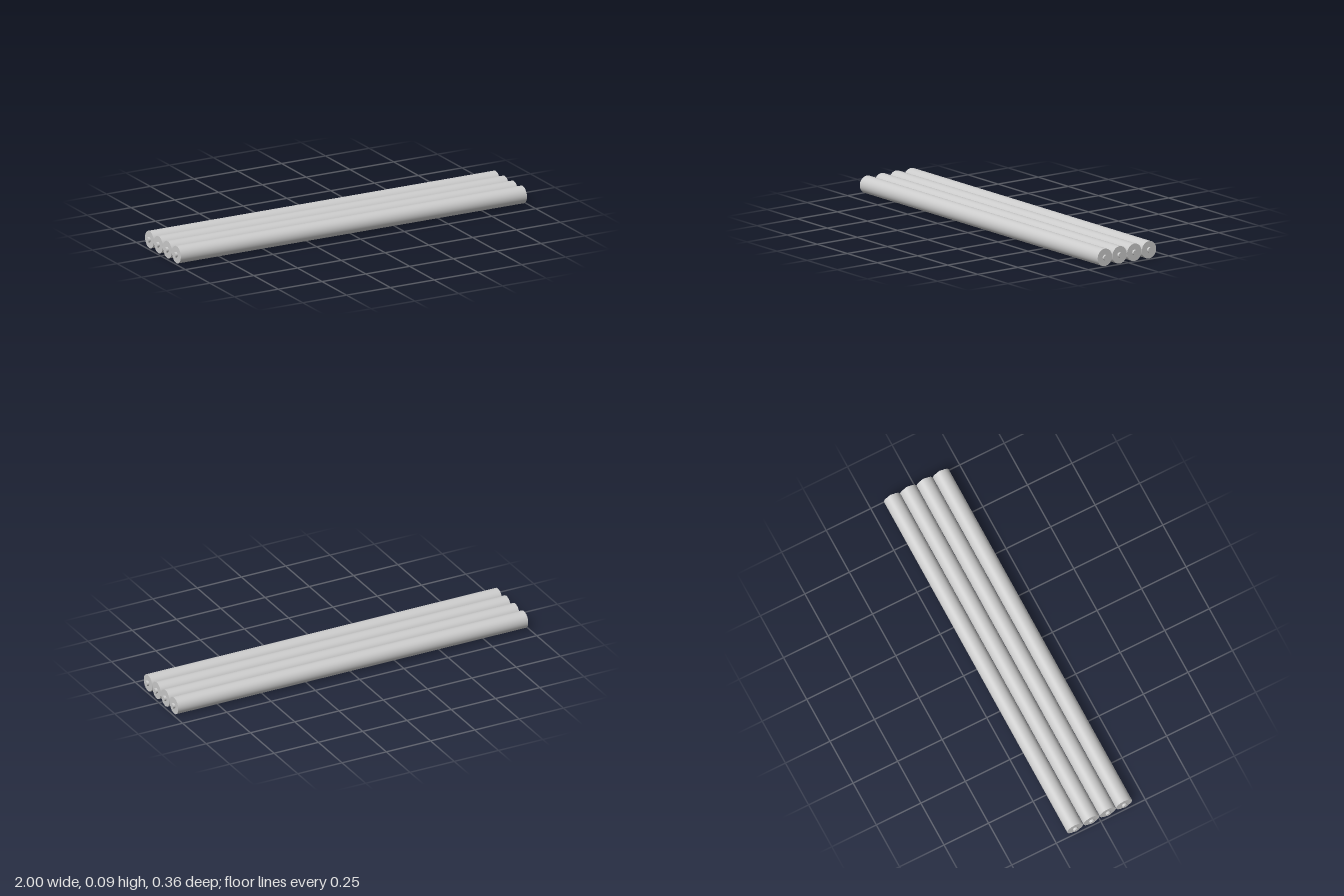
import * as THREE from 'three';

const COUNT = 4;
const SPACING = 0.0917;
const RADIUS = 0.0447;
const BODY_LENGTH = 1.976;
const PIN_RADIUS = 0.0138;

export function createModel() {
  const model = new THREE.Group();
  model.name = 'rollerSet';
  const material = new THREE.MeshStandardMaterial({ color: 0xcccccc });

  // Cylinders lie along x
  const rod = (radius, length) =>
    new THREE.CylinderGeometry(radius, radius, length, 64).rotateZ(Math.PI / 2);
  const bodyGeometry = rod(RADIUS, BODY_LENGTH);
  const pinLength = 1 - BODY_LENGTH / 2;
  const pinGeometry = rod(PIN_RADIUS, pinLength);

  for (let i = 0; i < COUNT; i++) {
    const roller = new THREE.Group();
    roller.name = `roller${i + 1}`;
    roller.position.set(0, RADIUS, (i - (COUNT - 1) / 2) * SPACING);

    const body = new THREE.Mesh(bodyGeometry, material);
    body.name = 'rollerBody';
    roller.add(body);

    // Short axle pin at each end
    for (const side of [1, -1]) {
      const pin = new THREE.Mesh(pinGeometry, material);
      pin.name = side > 0 ? 'leftPin' : 'rightPin';
      pin.position.x = side * (1 - pinLength / 2);
      roller.add(pin);
    }
    model.add(roller);
  }
  return model;
}
